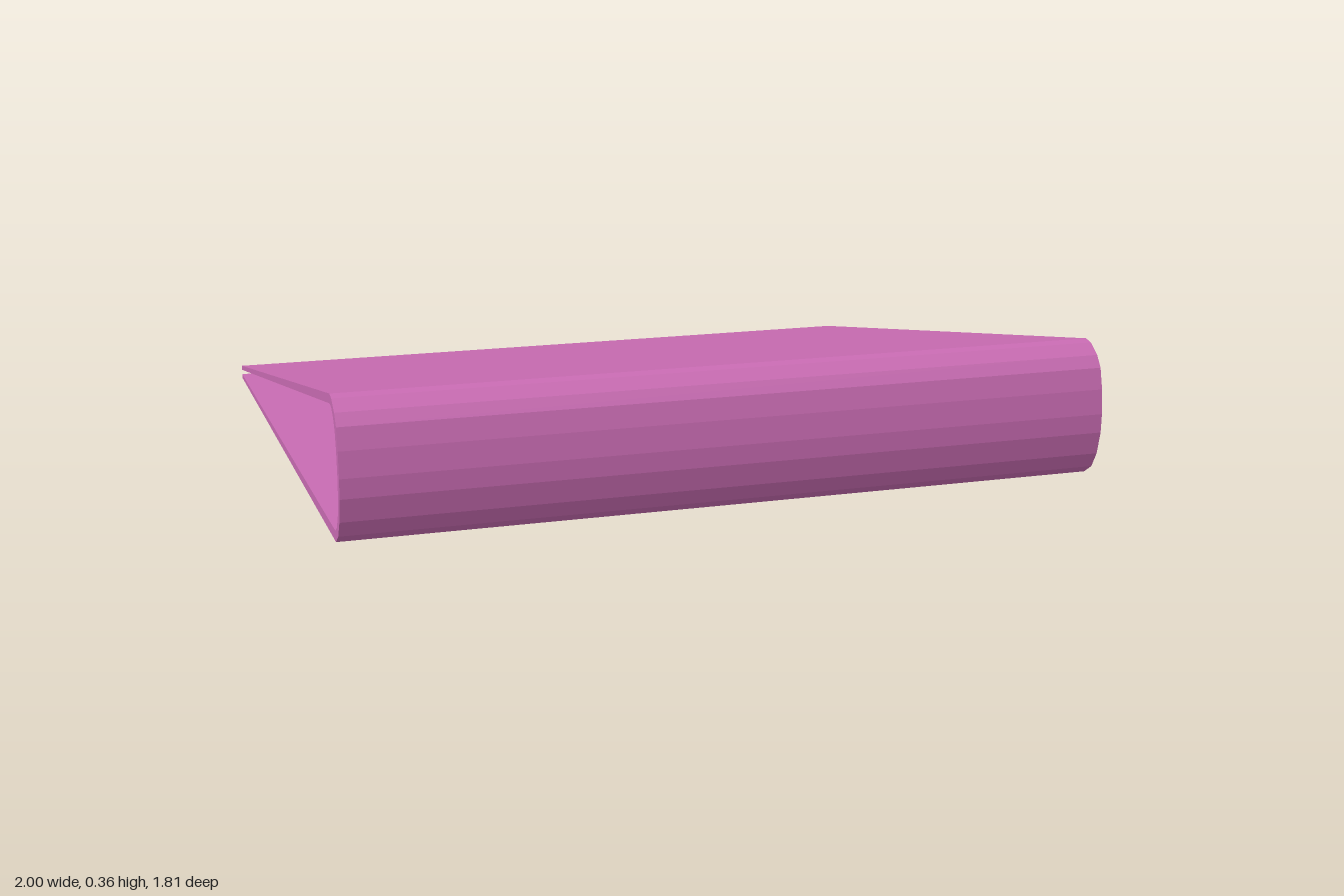
import * as THREE from 'three';

const pink = new THREE.MeshStandardMaterial({ color: 0xc86bb2, flatShading: true });
const grey = new THREE.MeshStandardMaterial({ color: 0xcccccc });

// Extrude a side profile of [z, y] points along x, centred on the given x.
function extrudeAlongX(name, points, width, x, material, bevel = 0) {
  const shape = new THREE.Shape(points.map(([z, y]) => new THREE.Vector2(-z, y)));
  const geometry = new THREE.ExtrudeGeometry(shape, {
    depth: width - 2 * bevel, bevelEnabled: bevel > 0, bevelSize: bevel,
    bevelThickness: bevel, bevelOffset: -bevel, bevelSegments: 3,
  });
  geometry.translate(0, 0, -width / 2 + bevel);
  geometry.rotateY(Math.PI / 2);
  const mesh = new THREE.Mesh(geometry, material);
  mesh.name = name;
  mesh.position.x = x;
  return mesh;
}

export function createModel() {
  const model = new THREE.Group();
  model.name = 'ringBinder';

  // Cover: both boards and the rounded spine as one folded sheet
  const outer = [
    [-0.905, 0.007], [0.83, 0], [0.865, 0.024], [0.888, 0.065], [0.902, 0.125], [0.904, 0.175],
    [0.898, 0.24], [0.885, 0.295], [0.865, 0.325], [0.83, 0.351], [0.805, 0.357], [-0.905, 0.046],
  ];
  const inner = [
    [-0.905, 0.033], [0.805, 0.333], [0.825, 0.329], [0.848, 0.308], [0.864, 0.28], [0.875, 0.235],
    [0.881, 0.175], [0.88, 0.13], [0.868, 0.075], [0.849, 0.041], [0.825, 0.027], [-0.905, 0.019],
  ];
  model.add(extrudeAlongX('cover', [...outer, ...inner], 2, 0, pink));

  // Arched metal plate along the inside of the spine
  model.add(extrudeAlongX('spinePlate', [
    [0.872, 0.08], [0.858, 0.08], [0.838, 0.12], [0.832, 0.175],
    [0.838, 0.23], [0.858, 0.265], [0.872, 0.265], [0.878, 0.175],
  ], 1.8, 0, grey));

  // Three rings
  for (const x of [-0.72, 0, 0.72]) {
    const ring = new THREE.Mesh(new THREE.TorusGeometry(0.103, 0.012, 12, 40), grey);
    ring.name = 'ring';
    ring.rotation.y = Math.PI / 2;
    ring.position.set(x, 0.175, 0.77);
    model.add(ring);
  }

  // Opening lever at each end of the plate
  const upper = [[0.865, 0.208], [0.82, 0.208], [0.775, 0.23], [0.735, 0.24], [0.705, 0.236], [0.686, 0.215]];
  const leverProfile = [...upper, [0.678, 0.175], ...upper.map(([z, y]) => [z, 0.35 - y]).reverse()];
  for (const side of [-1, 1]) {
    model.add(extrudeAlongX('lever', leverProfile, 0.05, side * 0.9, grey, 0.01));
  }
  return model;
}
